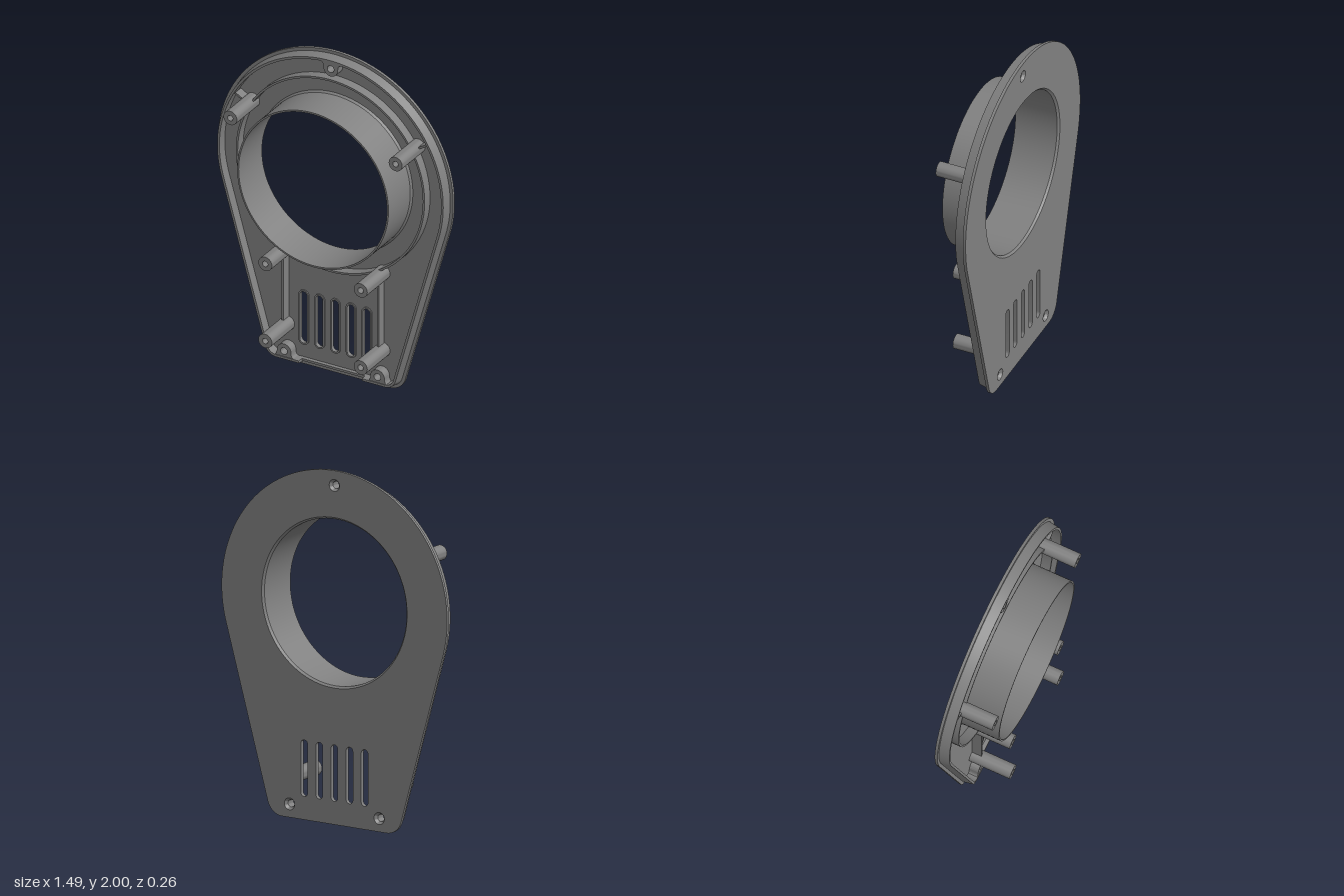
import * as THREE from 'three';
import { toCreasedNormals } from 'three/addons/utils/BufferGeometryUtils.js';

const material = new THREE.MeshStandardMaterial({ color: 0x808080, side: THREE.DoubleSide });
const BACK = -0.132, FLOOR = -0.115, TOP = -0.057, FRONT = 0.132;
const CY = 1.253, R = 0.747;       // large round end
const CX = 0.345, CR = 0.1;        // rounded bottom corners
const V = (x, y) => new THREE.Vector2(x, y);

// Teardrop outline inset by d, counter-clockwise from the bottom edge
function outline(d) {
  const dy = CY - CR, dist = Math.hypot(CX, dy);
  const tangent = Math.atan2(dy, -CX) - Math.acos(-(R - CR) / dist);
  const pts = [];
  const arc = (cx, cy, r, a, b, n) => {
    for (let i = 0; i <= n; i++) {
      const t = a + (b - a) * i / n;
      pts.push(V(cx + r * Math.cos(t), cy + r * Math.sin(t)));
    }
  };
  for (const x of [-0.201, -0.2, 0.2, 0.201]) pts.push(V(x, d));
  arc(CX, CR, CR - d, -Math.PI / 2, tangent, 14);
  arc(0, CY, R - d, tangent, Math.PI - tangent, 110);
  arc(-CX, CR, CR - d, Math.PI - tangent, Math.PI * 1.5, 14);
  return pts;
}

function circle(x, y, r) {
  return new THREE.Path().absarc(x, y, r, 0, Math.PI * 2, true);
}

// Upright slot with rounded ends
function slot(Type, x, y0, y1, r) {
  const p = new Type();
  p.absarc(x, y0 + r, r, Math.PI, Math.PI * 2, false);
  p.absarc(x, y1 - r, r, 0, Math.PI, false);
  p.closePath();
  return p;
}

function extrude(shape, z0, z1) {
  const g = new THREE.ExtrudeGeometry(shape, { depth: z1 - z0, bevelEnabled: false, curveSegments: 48 });
  return toCreasedNormals(g.translate(0, 0, z0), 0.5);
}

// Profile of [radius, z] turned around the z axis
function turned(profile, segments = 32) {
  const g = new THREE.LatheGeometry(profile.map(p => V(...p)), segments);
  return toCreasedNormals(g.rotateX(Math.PI / 2), 0.5);
}

// Tapered rim wall, lowered in the middle of the bottom edge
function rimGeometry() {
  const sections = [[0.019, FLOOR], [0.029, TOP], [0.043, TOP], [0.043, FLOOR]];
  const rings = sections.map(([d, z]) => outline(d).map(p => {
    const notch = p.y < 0.1 && Math.abs(p.x) < 0.2005;
    return [p.x, p.y, notch ? Math.min(z, -0.092) : z];
  }));
  const n = rings[0].length, index = [];
  for (let k = 0; k < rings.length - 1; k++) {
    for (let i = 0; i < n; i++) {
      const j = (i + 1) % n, a = k * n + i, b = k * n + j;
      index.push(a, b, b + n, a, b + n, a + n);
    }
  }
  const g = new THREE.BufferGeometry();
  g.setAttribute('position', new THREE.Float32BufferAttribute(rings.flat(2), 3));
  g.setIndex(index);
  return toCreasedNormals(g, 0.5);
}

export function createModel() {
  const group = new THREE.Group();
  const add = (name, geometry, x = 0, y = 0) => {
    const mesh = new THREE.Mesh(geometry, material);
    mesh.name = name;
    mesh.position.set(x, y, 0);
    group.add(mesh);
    return mesh;
  };
  const slotXs = [-0.2, -0.1, 0, 0.1, 0.2];
  const screws = [[0, 1.916, 1], [-0.297, 0.076, -1], [0.297, 0.076, -1]];

  // Thin back plate pierced by all openings
  const plate = new THREE.Shape(outline(0));
  plate.holes.push(circle(0, CY, 0.482));
  for (const x of slotXs) plate.holes.push(slot(THREE.Path, x, 0.131, 0.451, 0.022));
  for (const [x, y] of screws) plate.holes.push(circle(x, y, 0.034));
  add('backPlate', extrude(plate, BACK, FLOOR));
  add('rimWall', rimGeometry());

  // Central collar with chamfered mouth and foot
  add('collar', turned([[0.491, FLOOR], [0.481, -0.103], [0.481, FRONT], [0.471, FRONT],
    [0.471, -0.12], [0.482, BACK]], 96), 0, CY);
  add('ringRib', turned([[0.6, FLOOR], [0.6, TOP], [0.588, TOP], [0.588, FLOOR]], 96), 0, CY);

  // Low raised edges around the vent slots
  for (const x of slotXs) {
    const s = slot(THREE.Shape, x, 0.121, 0.461, 0.032);
    s.holes.push(slot(THREE.Path, x, 0.131, 0.451, 0.022));
    add('ventEdge', extrude(s, FLOOR, -0.108));
  }

  // Screw bosses flaring into the rim, countersunk from behind
  for (const [x, y, dir] of screws) {
    const w = 0.045, flare = 0.065, s = new THREE.Shape();
    s.absarc(0, 0, w, 0, Math.PI, dir > 0);
    s.quadraticCurveTo(-w, dir * 0.034, -flare, dir * 0.034);
    s.lineTo(-flare, dir * 0.042);
    s.lineTo(flare, dir * 0.042);
    s.lineTo(flare, dir * 0.034);
    s.quadraticCurveTo(w, dir * 0.034, w, 0);
    s.holes.push(circle(0, 0, 0.021));
    add('screwBoss', extrude(s, FLOOR, TOP - 0.004), x, y);
    add('countersink', turned([[0.021, FLOOR], [0.034, BACK]]), x, y);
  }

  // Hollow mounting posts
  const post = turned([[0.043, FLOOR], [0.043, FRONT], [0.017, FRONT], [0.017, 0.04], [0, 0.04]]);
  for (const side of [-1, 1]) {
    for (const [x, y] of [[0.525, 1.557], [0.303, 0.708], [0.303, 0.227]]) {
      add('mountingPost', post, side * x, y);
    }
    // Straight ribs between the lower posts and from the upper posts to the rim
    const height = TOP - FLOOR;
    const rib = length => new THREE.BoxGeometry(0.012, length, height).translate(0, 0, FLOOR + height / 2);
    add('postRib', rib(0.42), side * 0.303, 0.467);
    add('rimRib', rib(0.07), side * 0.575, 1.586).rotation.z = -side * Math.PI / 3;
  }
  return group;
}
